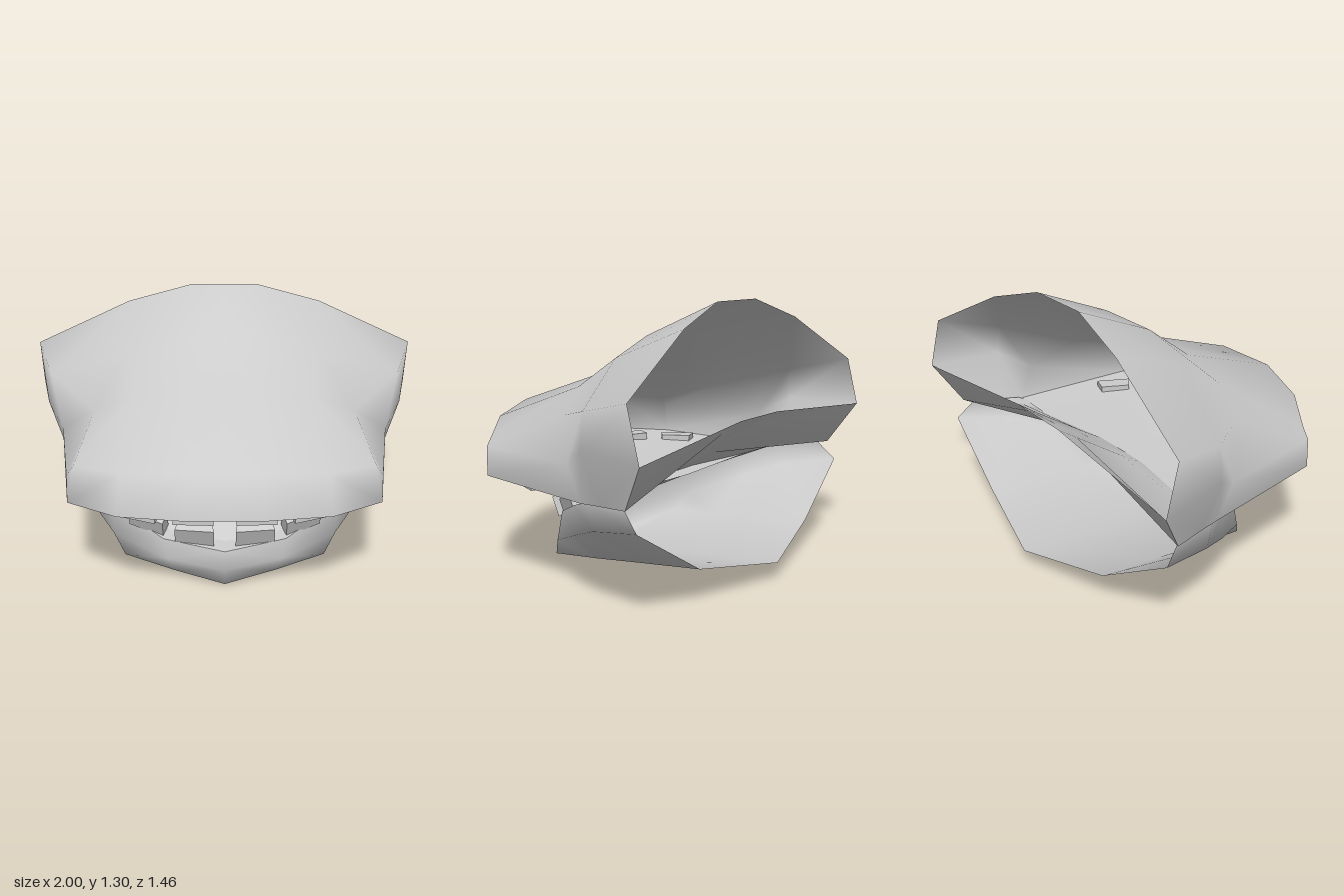
import * as THREE from 'three';
import { mergeVertices, mergeGeometries } from 'three/addons/utils/BufferGeometryUtils.js';

const grey = new THREE.MeshStandardMaterial({ color: 0xcccccc, side: THREE.DoubleSide });
grey.name = 'light grey';

// Skins rows of [x, y, z] points on the +x half, mirrors them and welds the middle.
function skin(name, rows) {
  const half = (sign) => {
    const pos = [], idx = [], n = rows[0].length;
    rows.forEach((row) => row.forEach(([x, y, z]) => pos.push(x * sign, y, z)));
    for (let r = 0; r < rows.length - 1; r++) {
      for (let c = 0; c < n - 1; c++) {
        const a = r * n + c, b = a + 1, d = a + n, e = d + 1;
        if (sign > 0) idx.push(a, b, d, b, e, d);
        else idx.push(a, d, b, b, d, e);
      }
    }
    const g = new THREE.BufferGeometry();
    g.setAttribute('position', new THREE.Float32BufferAttribute(pos, 3));
    g.setIndex(idx);
    return g;
  };
  const geo = mergeVertices(mergeGeometries([half(1), half(-1)]), 1e-4);
  geo.computeVertexNormals();
  const mesh = new THREE.Mesh(geo, grey);
  mesh.name = name;
  return mesh;
}

// A slightly tapered block tooth, mirrored to both sides.
function toothPair(group, name, [x, y, z], [w, h, d], yaw, pitch) {
  for (const s of [1, -1]) {
    const geo = new THREE.BoxGeometry(w, h, d);
    const p = geo.attributes.position;
    for (let i = 0; i < p.count; i++) if (p.getZ(i) < 0) p.setX(i, p.getX(i) * 0.85);
    const tooth = new THREE.Mesh(geo, grey);
    tooth.name = name;
    tooth.position.set(s * x, y, z);
    tooth.rotation.set(pitch, s * yaw, 0, 'XYZ');
    group.add(tooth);
  }
}

export function createModel() {
  const model = new THREE.Group();
  model.name = 'muzzle';

  // Snout: cross-sections from the front lip to the back rim, each from the middle round to the side
  const frontLip = [[0, 0.56, 0.73], [0.17, 0.56, 0.73], [0.49, 0.52, 0.61], [0.74, 0.49, 0.41]];
  const lipSide = [0.82, 0.465, -0.22];
  const upper = new THREE.Group();
  upper.name = 'upperMuzzle';
  upper.add(skin('snoutShell', [
    [...frontLip, frontLip[3], frontLip[3]],
    [[0, 0.76, 0.68], [0.17, 0.76, 0.68], [0.47, 0.72, 0.58], [0.7, 0.68, 0.41], [0.735, 0.63, 0.41], frontLip[3]],
    [[0, 0.945, 0.14], [0.17, 0.945, 0.14], [0.44, 0.9, 0.1], [0.64, 0.8, 0.02], [0.83, 0.63, -0.15], lipSide],
    [[0, 1.13, -0.1], [0.17, 1.13, -0.1], [0.47, 1.05, -0.14], [0.9, 0.88, -0.3], [0.92, 0.72, -0.3], [0.86, 0.48, -0.35]],
    [[0, 1.3, -0.49], [0.17, 1.3, -0.49], [0.5, 1.2, -0.53], [1, 0.95, -0.6], [1, 0.71, -0.66], [0.92, 0.5, -0.53]],
  ]));
  // Roof of the mouth, turned in from the lip
  upper.add(skin('palate', [
    [[0, 0.555, 0.62], [0, 0.555, 0.62], [0, 0.52, 0.5], [0, 0.48, 0.36], [0, 0.44, -0.22]],
    [[0, 0.555, 0.62], [0.17, 0.555, 0.62], [0.42, 0.515, 0.52], [0.64, 0.485, 0.36], [0.76, 0.46, -0.22]],
    [...frontLip, lipSide],
  ]));
  toothPair(upper, 'upperTooth', [0.145, 0.49, 0.48], [0.19, 0.12, 0.09], 0.05, 0);
  toothPair(upper, 'upperTooth', [0.4, 0.475, 0.43], [0.2, 0.09, 0.09], 0.4, 0);
  toothPair(upper, 'upperTooth', [0.6, 0.47, 0.25], [0.18, 0.07, 0.09], 1.1, 0);

  // Jaw: rows from the keel up to the lip, each from the front round to the back
  const lowerLip = [[0, 0.2, 0.37], [0.3, 0.24, 0.31], [0.57, 0.33, 0.1],
    [0.72, 0.42, -0.1], [0.82, 0.475, -0.25], [0.88, 0.5, -0.49]];
  const lower = new THREE.Group();
  lower.name = 'lowerJaw';
  lower.add(skin('jawShell', [
    [[0, 0, 0.34], [0, 0.003, 0.3], [0, 0.011, 0.2], [0, 0.03, -0.05], [0, 0.05, -0.3], [0, 0.085, -0.73]],
    [[0, 0, 0.34], [0.25, 0.045, 0.28], [0.5, 0.09, 0.2], [0.5, 0.11, -0.05], [0.5, 0.135, -0.3], [0.5, 0.165, -0.62]],
    [[0, 0.1, 0.38], [0.28, 0.14, 0.33], [0.56, 0.18, 0.14], [0.74, 0.29, -0.12], [0.84, 0.36, -0.3], [0.91, 0.41, -0.58]],
    lowerLip,
  ]));
  // Floor of the mouth, sloping up to the back and meeting the snout's sides
  const floorEdge = [[0, 0.21, 0.28], [0.25, 0.24, 0.25], [0.47, 0.32, 0.08],
    [0.62, 0.4, -0.1], [0.74, 0.47, -0.27], [0.92, 0.5, -0.53]];
  lower.add(skin('jawLip', [lowerLip, floorEdge]));
  lower.add(skin('mouthFloor', [
    [...floorEdge, [1, 0.71, -0.66]],
    [[0, 0.21, 0.28], [0.1, 0.23, 0.25], [0.17, 0.32, 0.08], [0.17, 0.42, -0.1],
      [0.17, 0.53, -0.27], [0.17, 0.7, -0.52], [0.17, 0.77, -0.62]],
    [[0, 0.21, 0.28], [0, 0.23, 0.25], [0, 0.32, 0.08], [0, 0.42, -0.1],
      [0, 0.53, -0.27], [0, 0.7, -0.52], [0, 0.77, -0.62]],
  ]));
  toothPair(lower, 'lowerTooth', [0.145, 0.27, 0.31], [0.19, 0.12, 0.07], 0.08, 0.4);
  toothPair(lower, 'lowerTooth', [0.37, 0.31, 0.23], [0.19, 0.1, 0.08], 0.45, 0.4);
  toothPair(lower, 'lowerTooth', [0.53, 0.375, 0.06], [0.19, 0.07, 0.08], 1.0, 0.4);

  model.add(upper, lower);
  return model;
}
